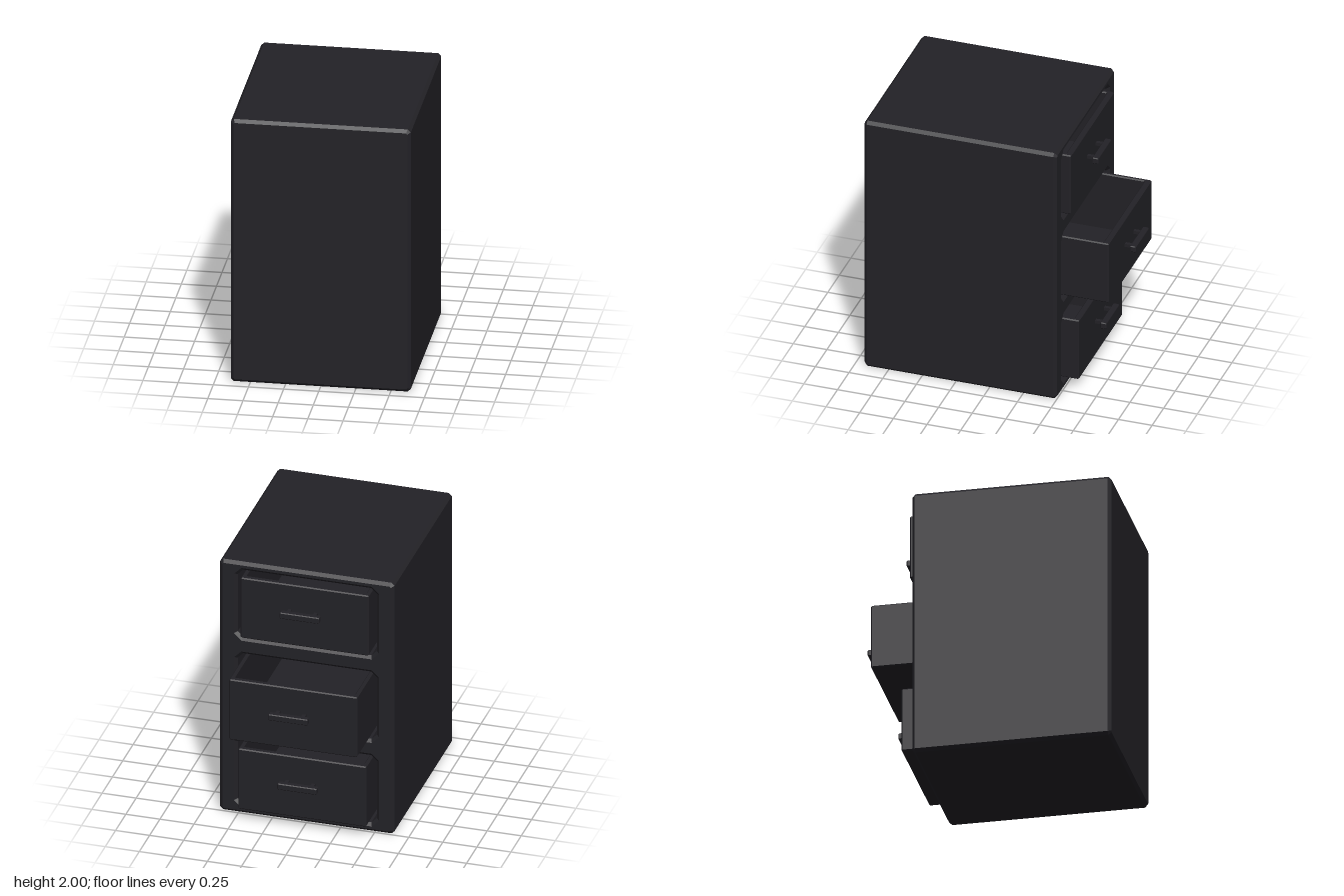
import * as THREE from 'three';

const material = new THREE.MeshStandardMaterial({ color: 0x232227 });

// Rectangle outline with cut corners
function outline(x0, y0, x1, y1, c) {
  return [
    [x0 + c, y0], [x1 - c, y0], [x1, y0 + c], [x1, y1 - c],
    [x1 - c, y1], [x0 + c, y1], [x0, y1 - c], [x0, y0 + c],
  ].map(([x, y]) => new THREE.Vector2(x, y));
}

// Bevelled slab from z = 0 to z = depth, with optional holes
function slab(points, depth, b, holes = []) {
  const shape = new THREE.Shape(points);
  shape.holes = holes.map((h) => new THREE.Path(h));
  return new THREE.ExtrudeGeometry(shape, {
    depth: depth - 2 * b, bevelThickness: b, bevelSize: b, bevelOffset: -b, bevelSegments: 1,
  }).translate(0, 0, b);
}

function add(parent, name, geometry, x = 0, y = 0, z = 0) {
  const mesh = new THREE.Mesh(geometry, material);
  mesh.name = name;
  mesh.position.set(x, y, z);
  parent.add(mesh);
  return mesh;
}

// Open-topped drawer; its front face lies at local z = 0, its base at y = 0
function makeDrawer() {
  const drawer = new THREE.Group();
  const w = 0.47, h = 0.48, length = 1.25, wall = 0.03, face = 0.045, b = 0.008;

  const walls = slab(outline(-w, -length, w, 0, b), h, b,
    [outline(-w + wall, -length + wall, w - wall, -face, 0.005)]);
  add(drawer, 'drawerWalls', walls.rotateX(-Math.PI / 2));
  add(drawer, 'drawerFloor',
    new THREE.BoxGeometry(2 * (w - wall + b), 0.035, length - wall - face + 2 * b),
    0, 0.0175, (length - wall + face) / 2);

  // Pull handle: chamfered bar on two posts
  const handle = new THREE.Group();
  handle.name = 'handle';
  handle.position.set(0.01, 0.275, 0);
  add(handle, 'handleBar', slab(outline(-0.145, -0.024, 0.145, 0.024, 0.006), 0.046, 0.006), 0, 0, -0.095);
  for (const x of [-0.095, 0.095]) {
    add(handle, 'handlePost', new THREE.BoxGeometry(0.026, 0.024, 0.06), x, 0, -0.025);
  }
  drawer.add(handle);
  return drawer;
}

export function createModel() {
  const group = new THREE.Group();
  const b = 0.022, back = -0.5, front = 0.93, inner = 0.85;
  const shell = outline(-0.64, 0, 0.64, 2, b);
  const centres = [1 / 3, 1, 5 / 3];

  // Carcass with three drawer bays, closed by a panel that overlaps its bevel
  const bays = centres.map((y) => outline(-0.51, y - 0.268, 0.51, y + 0.268, 0.04));
  add(group, 'carcass', slab(shell, inner - back, b, bays), 0, 0, back);
  add(group, 'closingPanel', slab(shell, front - inner + 2 * b, b), 0, 0, inner - 2 * b);

  // Drawers, each pulled out by a different amount
  [-0.61, -0.83, -0.55].forEach((z, i) => {
    const drawer = makeDrawer();
    drawer.name = ['bottomDrawer', 'middleDrawer', 'topDrawer'][i];
    drawer.position.set(0, centres[i] - 0.24, z);
    group.add(drawer);
  });
  return group;
}
